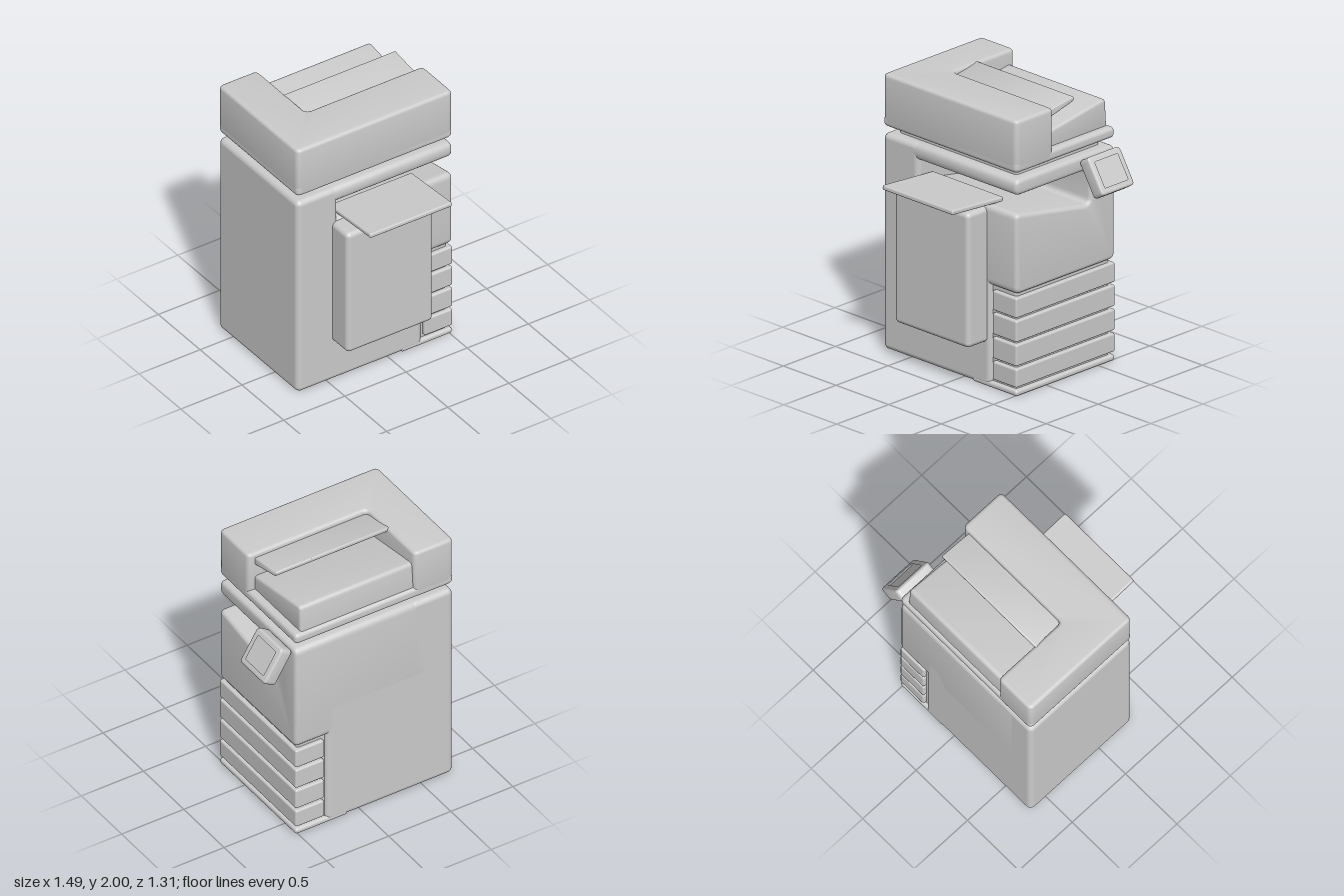
import * as THREE from 'three';
import { toCreasedNormals } from 'three/addons/utils/BufferGeometryUtils.js';
import { RoundedBoxGeometry } from 'three/addons/geometries/RoundedBoxGeometry.js';

const material = new THREE.MeshStandardMaterial({ color: 0xcccccc });

function part(name, geometry, parent) {
  const mesh = new THREE.Mesh(geometry, material);
  mesh.name = name;
  parent.add(mesh);
  return mesh;
}

// Rounded box given by its min and max along each axis
function block(name, parent, [x0, x1], [y0, y1], [z0, z1], radius) {
  const mesh = part(name, new RoundedBoxGeometry(x1 - x0, y1 - y0, z1 - z0, 4, radius), parent);
  mesh.position.set((x0 + x1) / 2, (y0 + y1) / 2, (z0 + z1) / 2);
  return mesh;
}

// Closed outline through the points, every corner rounded
function roundedOutline(points, r, target = new THREE.Shape()) {
  const v = points.map(([x, y]) => new THREE.Vector2(x, y));
  v.forEach((p, i) => {
    const prev = v[(i + v.length - 1) % v.length];
    const next = v[(i + 1) % v.length];
    const a = prev.clone().sub(p).setLength(r).add(p);
    const b = next.clone().sub(p).setLength(r).add(p);
    if (i === 0) target.moveTo(a.x, a.y);
    else target.lineTo(a.x, a.y);
    target.quadraticCurveTo(p.x, p.y, b.x, b.y);
  });
  target.closePath();
  return target;
}

function bevelled(shape, from, to, bevel) {
  const geo = new THREE.ExtrudeGeometry(shape, {
    depth: to - from - 2 * bevel, curveSegments: 5,
    bevelSize: bevel, bevelThickness: bevel, bevelOffset: -bevel, bevelSegments: 4,
  });
  return geo.translate(0, 0, from + bevel);
}

// Side profile of [z, y] points, swept along x
function sideProfile(points, x0, x1, r, bevel, hole) {
  const flip = (list) => list.map(([z, y]) => [-z, y]);
  const shape = roundedOutline(flip(points), r);
  if (hole) shape.holes.push(roundedOutline(flip(hole), r * 0.6, new THREE.Path()));
  return toCreasedNormals(bevelled(shape, x0, x1, bevel).rotateY(Math.PI / 2), 0.6);
}

// Plan of [x, z] points, raised along y
function plan(points, y0, y1, r, bevel) {
  const shape = roundedOutline(points.map(([x, z]) => [x, -z]), r);
  return toCreasedNormals(bevelled(shape, y0, y1, bevel).rotateX(-Math.PI / 2), 0.6);
}

const rect = (w, h) => [[-w, -h], [w, -h], [w, h], [-w, h]];

export function createModel() {
  const model = new THREE.Group();
  model.name = 'copier';
  const depth = [-0.65, 0.3];

  // Cabinet, with a paper outlet open to the front and left
  const cabinet = new THREE.Group();
  cabinet.name = 'cabinet';
  model.add(cabinet);
  block('sideColumn', cabinet, [-0.75, -0.415], [0, 1.57], depth, 0.04);
  block('lowerCabinet', cabinet, [-0.75, 0.272], [0, 1.0], depth, 0.04);
  part('upperCabinet', sideProfile([
    [-0.65, 0.74], [0.3, 0.74], [0.3, 1.325], [-0.41, 1.2],
    [-0.41, 1.455], [0.3, 1.455], [0.3, 1.57], [-0.65, 1.57],
  ], -0.6, 0.52, 0.05, 0.03), cabinet);
  block('basePlate', cabinet, [0.1, 0.52], [0, 0.045], depth, 0.02);

  // Paper drawers around a recessed core
  block('drawerCore', cabinet, [0.1, 0.49], [0.02, 0.8], [-0.62, 0.27], 0.02);
  [[0.065, 0.2], [0.22, 0.375], [0.395, 0.55], [0.57, 0.715]].forEach((range, i) => {
    block(`drawer${i + 1}`, model, [0.29, 0.52], range, depth, 0.014);
  });

  // Front cover and output tray
  block('frontCover', model, [-0.465, 0.24], [0.32, 1.3], [0.2, 0.48], 0.035);
  const tray = block('outputTray', model, [-0.4, 0.27], [1.335, 1.37], [0.17, 0.66], 0.012);
  tray.rotation.x = -0.073;

  // Scanner head on a recessed neck
  block('neck', model, [-0.67, 0.44], [1.54, 1.65], [-0.575, 0.22], 0.02);
  block('scannerBase', model, [-0.75, 0.52], [1.62, 1.7], depth, 0.03);
  part('scannerHousing', plan([
    [-0.75, 0.3], [0.52, 0.3], [0.52, -0.06],
    [-0.435, -0.06], [-0.435, -0.65], [-0.75, -0.65],
  ], 1.62, 2.0, 0.04, 0.025), model);

  // Document feeder wedge and its flap
  part('feederWedge', sideProfile([
    [0, 1.66], [-0.63, 1.66], [-0.615, 1.9], [0, 1.8],
  ], -0.46, 0.465, 0.035, 0.02), model);
  part('feederFlap', sideProfile([
    [0, 1.89], [-0.31, 1.967], [-0.31, 2.0], [0, 1.955],
  ], -0.46, 0.465, 0.012, 0.008), model);

  // Tilted control panel with a sunken screen
  const panel = new THREE.Group();
  panel.name = 'controlPanel';
  panel.position.set(0.633, 1.45, -0.455);
  panel.rotation.z = 0.555;
  model.add(panel);
  part('panelFrame', sideProfile(rect(0.155, 0.14), -0.05, 0.05, 0.03, 0.015, rect(0.125, 0.11)), panel);
  block('panelScreen', panel, [-0.05, 0.03], [-0.125, 0.125], [-0.14, 0.14], 0.005);

  return model;
}
